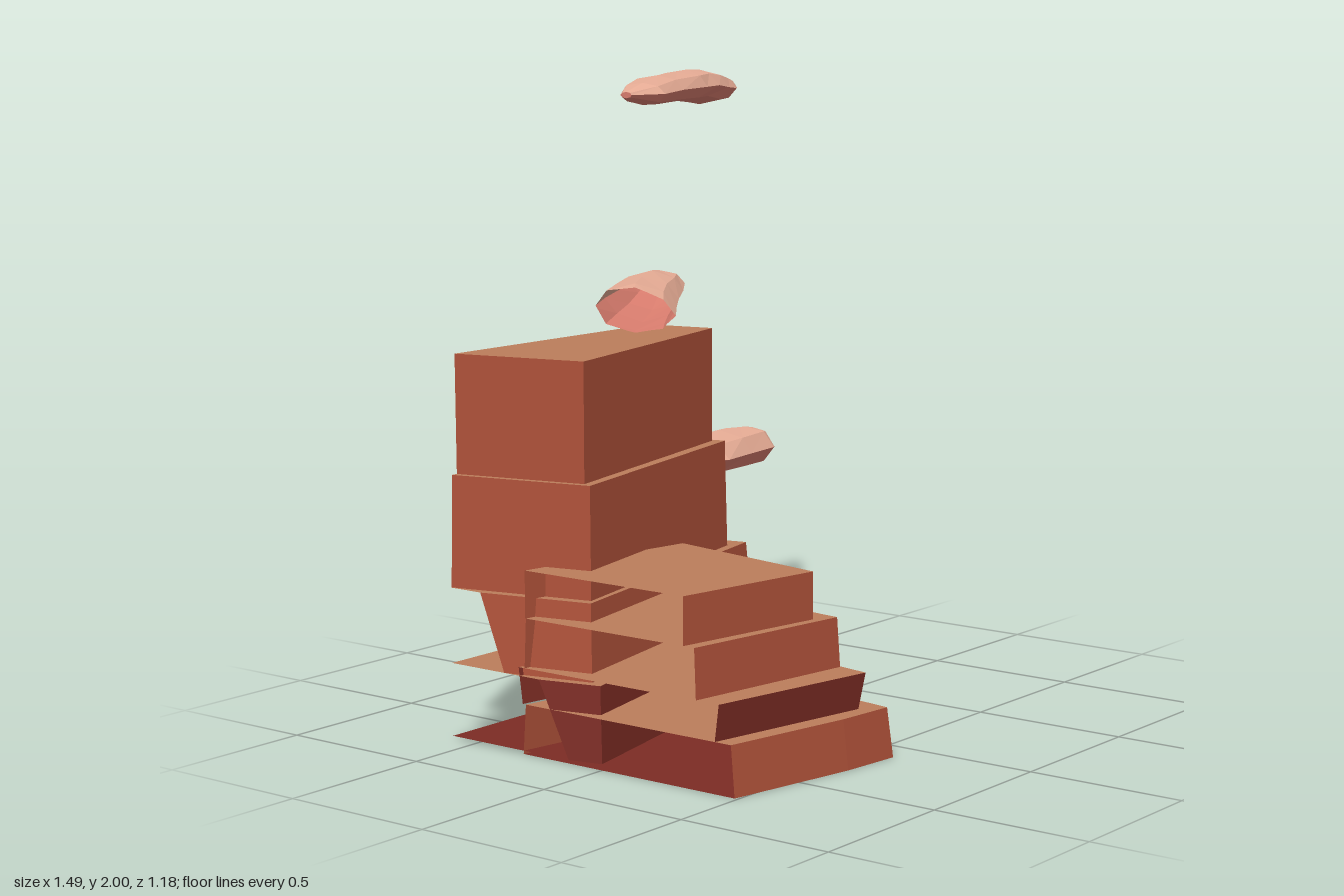
import * as THREE from 'three';

const mat = (name, color) => {
  const m = new THREE.MeshStandardMaterial({ color, side: THREE.DoubleSide, flatShading: true });
  m.name = name;
  return m;
};
const rockSide = mat('rust rock', 0xb0523a);
const rockDark = mat('dark red rock', 0x7c2c24);
const rockTop = mat('sandstone top', 0xbb7d5b);
const cloudTop = mat('peach cloud', 0xe8ad96);
const cloudUnder = mat('pink cloud underside', 0xdd7f70);

// The diorama is cut open at these planes: a * axis <= limit
const PLANES = [['x', -1, 0.745], ['x', 1, 0.745], ['z', -1, 0.59]];

function clip(poly) {
  for (const [axis, sign, limit] of PLANES) {
    const out = [];
    poly.forEach((p, i) => {
      const q = poly[(i + 1) % poly.length];
      const dp = limit - sign * p[axis], dq = limit - sign * q[axis];
      if (dp >= 0) out.push(p);
      if (dp * dq < 0) out.push(p.clone().lerp(q, dp / (dp - dq)));
    });
    poly = out;
  }
  return poly;
}

// Flat-faced mesh from convex polygons, trimmed to the cut planes
function polyMesh(name, polys, material) {
  const pts = [];
  for (const poly of polys) {
    const c = clip(poly);
    for (let i = 1; i < c.length - 1; i++) pts.push(c[0], c[i], c[i + 1]);
  }
  const g = new THREE.BufferGeometry().setFromPoints(pts);
  g.computeVertexNormals();
  const mesh = new THREE.Mesh(g, material);
  mesh.name = name;
  return mesh;
}

// One rock tier: corners run frontLeft, frontRight, backRight, backLeft
function slab(name, { corners, y, taper, dark, floor }, [cx, cz]) {
  const group = new THREE.Group();
  group.name = name;
  const low = corners.map(([x, z]) => new THREE.Vector3(x, y[0], z));
  const high = corners.map(([x, z]) =>
    new THREE.Vector3(cx + (x - cx) * taper, y[1], cz + (z - cz) * taper));
  const walls = low.map((p, i) => {
    const j = (i + 1) % low.length;
    return [p, low[j], high[j], high[i]];
  });
  group.add(polyMesh(name + 'Walls', walls, dark ? rockDark : rockSide));
  group.add(polyMesh(name + 'Top', [high], rockTop));
  if (floor) group.add(polyMesh(name + 'Floor', [[...low].reverse()], rockDark));
  return group;
}

function stack(name, centre, tiers) {
  const group = new THREE.Group();
  group.name = name;
  tiers.forEach((t, i) => group.add(slab(name + 'Tier' + (i + 1), t, centre)));
  return group;
}

// Faceted cloud lofted along stations [x, y, z, halfWidth, halfHeight]
function cloud(name, stations, seed) {
  const rand = () => (seed = (seed * 16807) % 2147483647) / 2147483647;
  const SIDES = 8;
  const rings = stations.map(([x, y, z, w, h], i) => {
    const a = stations[Math.max(i - 1, 0)], b = stations[Math.min(i + 1, stations.length - 1)];
    const d = new THREE.Vector2(b[0] - a[0], b[2] - a[2]).normalize();
    return Array.from({ length: SIDES }, (_, k) => {
      const t = (k / SIDES) * Math.PI * 2, r = 0.88 + 0.12 * rand();
      const s = w * r * Math.cos(t);
      return new THREE.Vector3(x - d.y * s, y + h * r * Math.sin(t), z + d.x * s);
    });
  });
  const upper = [], lower = [], tri = new THREE.Triangle(), n = new THREE.Vector3();
  const add = (...p) => {
    tri.set(...p).getNormal(n);
    (n.y < -0.1 ? lower : upper).push(p);
  };
  for (let i = 0; i < rings.length - 1; i++) {
    for (let k = 0; k < SIDES; k++) {
      const m = (k + 1) % SIDES;
      add(rings[i][k], rings[i + 1][k], rings[i + 1][m]);
      add(rings[i][k], rings[i + 1][m], rings[i][m]);
    }
  }
  const group = new THREE.Group();
  group.name = name;
  group.add(polyMesh(name + 'Upper', upper, cloudTop), polyMesh(name + 'Underside', lower, cloudUnder));
  return group;
}

export function createModel() {
  const model = new THREE.Group();
  model.name = 'rockAndClouds';

  // Low stepped rock at the front
  model.add(stack('frontRock', [-0.5, 0.1], [
    { corners: [[-0.95, 0.45], [-0.31, 0.57], [-0.11, 0.59], [0.01, -0.18], [-0.9, -0.33]], y: [0, 0.152], taper: 0.97, floor: true },
    { corners: [[-0.95, 0.38], [-0.19, 0.52], [-0.065, -0.2], [-0.9, -0.33]], y: [0.152, 0.262], taper: 1.04, dark: true },
    { corners: [[-0.95, 0.32], [-0.165, 0.435], [-0.09, -0.2], [-0.9, -0.32]], y: [0.262, 0.413], taper: 0.98 },
    { corners: [[-0.95, 0.27], [-0.24, 0.39], [-0.135, -0.185], [-0.9, -0.32]], y: [0.413, 0.557], taper: 1 },
  ]));

  // Tall stepped tower at the back
  model.add(stack('towerRock', [-0.2, -0.6], [
    { corners: [[-0.72, -0.02], [0.49, -0.285], [0.36, -0.8], [-0.9, -0.8]], y: [0.01, 0.236], taper: 0.96, dark: true, floor: true },
    { corners: [[-0.68, -0.09], [0.38, -0.31], [0.27, -0.8], [-0.84, -0.8]], y: [0.236, 0.468], taper: 0.965 },
    { corners: [[-0.635, -0.13], [0.28, -0.335], [0.18, -0.8], [-0.79, -0.8]], y: [0.468, 0.81], taper: 0.985 },
    { corners: [[-0.615, -0.17], [0.245, -0.37], [0.155, -0.8], [-0.76, -0.8]], y: [0.81, 1.174], taper: 1.005 },
  ]));

  // Drifting clouds
  model.add(cloud('highCloud', [
    [-0.46, 1.945, -0.13, 0.02, 0.01], [-0.36, 1.945, -0.15, 0.075, 0.035],
    [-0.2, 1.95, -0.225, 0.09, 0.047], [0, 1.95, -0.31, 0.105, 0.05],
    [0.15, 1.948, -0.39, 0.105, 0.054], [0.3, 1.935, -0.46, 0.1, 0.055],
    [0.45, 1.925, -0.535, 0.088, 0.045], [0.6, 1.92, -0.61, 0.06, 0.03],
    [0.7, 1.92, -0.66, 0.01, 0.01],
  ], 11));
  model.add(cloud('middleCloud', [
    [-1.0, 1.34, 0.33, 0.07, 0.03], [-0.85, 1.35, 0.22, 0.12, 0.06],
    [-0.7, 1.36, 0.1, 0.125, 0.07], [-0.55, 1.365, 0, 0.115, 0.07],
    [-0.4, 1.37, -0.085, 0.105, 0.06], [-0.27, 1.375, -0.17, 0.085, 0.042],
    [-0.18, 1.378, -0.25, 0.045, 0.022], [-0.145, 1.378, -0.3, 0.01, 0.006],
  ], 23));
  model.add(cloud('lowCloud', [
    [0.14, 0.74, -0.53, 0.01, 0.01], [0.25, 0.73, -0.55, 0.09, 0.055],
    [0.4, 0.72, -0.56, 0.135, 0.07], [0.55, 0.718, -0.58, 0.135, 0.075],
    [0.7, 0.715, -0.61, 0.13, 0.075], [0.85, 0.71, -0.66, 0.11, 0.055],
  ], 37));
  return model;
}
